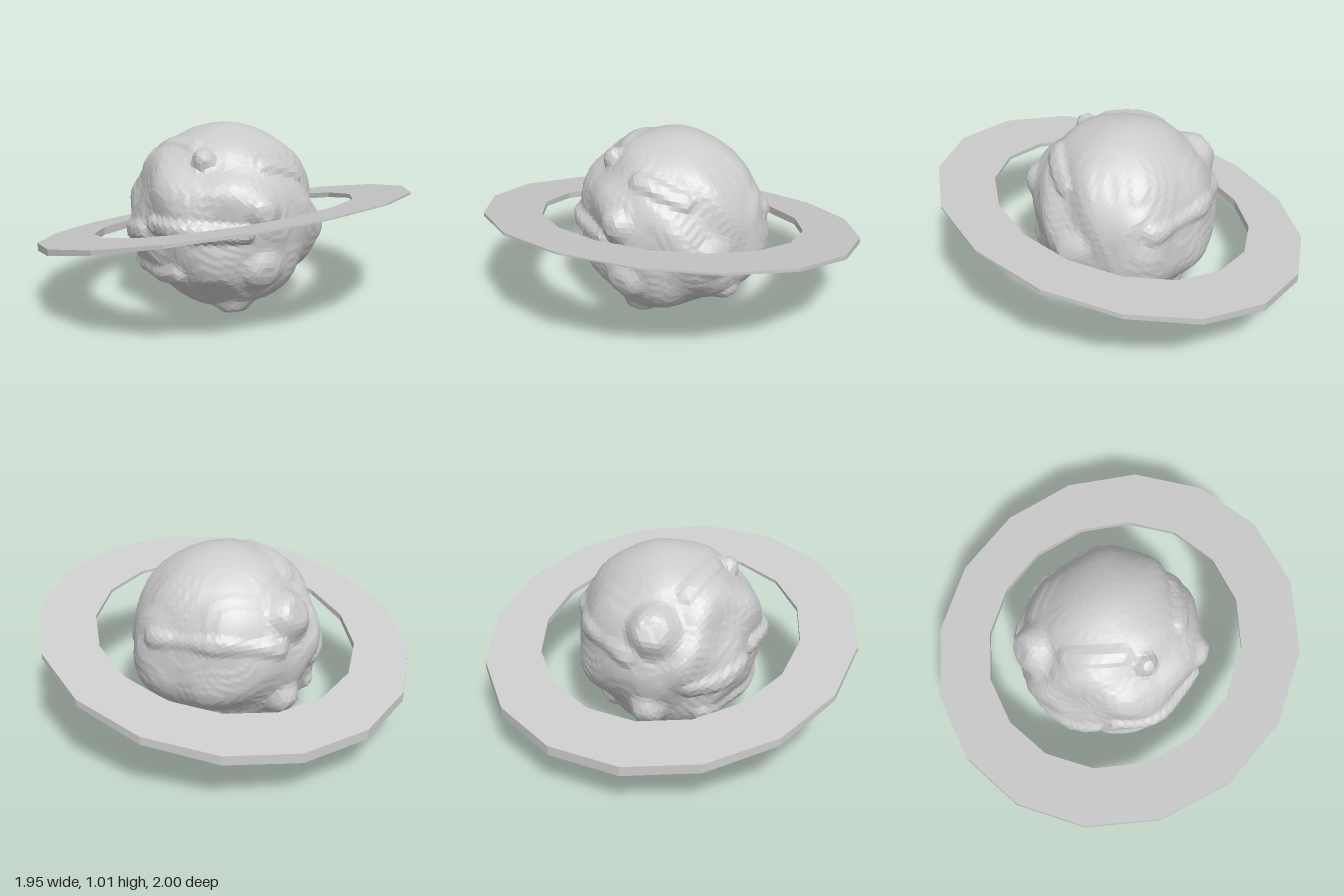
import * as THREE from 'three';

const { degToRad, lerp, smoothstep } = THREE.MathUtils;
const CENTRE_Y = 0.52;

// Unit direction from longitude (0 = front, 90 = +x) and latitude in degrees
function direction(lon, lat) {
  return new THREE.Vector3().setFromSphericalCoords(1, degToRad(90 - lat), degToRad(lon));
}

// Lumps on the surface: longitude, latitude, width, height
const lumps = [
  [-75, 27, 0.34, 0.085],  // left shoulder
  [30, 49, 0.15, 0.05],    // upper front knob
  [73, 15, 0.22, 0.035],
  [76, -24, 0.28, 0.045],
  [63, -62, 0.25, 0.04],
  [-67, -64, 0.25, 0.03],
  [-80, -30, 0.25, 0.065],
  [-48, 4, 0.4, 0.025],
  [157, -37, 0.17, 0.03],
  [180, -20, 0.55, 0.035], // broad swellings at the back
  [182, 10, 0.4, 0.025],
  [221, -45, 0.18, 0.035],
  [137, -3, 0.25, 0.03],
  [42, -42, 0.3, -0.025],  // lower front hollow
].map(([lon, lat, width, height]) => {
  const centre = direction(lon, lat);
  return { width, height, distance: (d) => d.distanceTo(centre) };
});

// Ridges: start longitude and latitude, end longitude and latitude, height
const ridges = [
  [0, 3, 62, 2, 0.035],
  [-53, -11, -14, -3, 0.025],
  [-43, -31, 16, -27, 0.03],
  [187, 12, 270, 10, 0.022],
  [120, 33, 82, 44, 0.025],
  [-49, 49, 9, 60, 0.014],
].map(([lonA, latA, lonB, latB, height]) => {
  const line = new THREE.Line3(direction(lonA, latA), direction(lonB, latB));
  const near = new THREE.Vector3();
  return {
    width: 0.13,
    height,
    distance: (d) => line.closestPointToPoint(d, true, near).normalize().distanceTo(d),
  };
});

const features = [...lumps, ...ridges];

// Rolling relief with partly stepped terraces, calmer near the top
function relief(d) {
  const n = Math.sin(5.1 * d.x + 3 * d.y + 1.3 * Math.sin(4 * d.z))
    + Math.sin(6.3 * d.y - 3.2 * d.z + 1.5 * Math.sin(5 * d.x) + 1)
    + 0.7 * Math.sin(9 * d.z + 5 * d.x - 6 * d.y + 2);
  const level = Math.floor(n * 1.3);
  const terraces = (level + smoothstep(n * 1.3 - level, 0.3, 0.7) - 0.5) / 1.3;
  return (0.004 * n + 0.007 * terraces) * (1 - 0.75 * smoothstep(d.y, 0.5, 1));
}

function planetRadius(d) {
  let r = 0.5 + relief(d);
  for (const { width, height, distance } of features) {
    r += height * smoothstep(1 - distance(d) / width, 0, 0.7);
  }
  return r;
}

function createPlanet(material) {
  const geometry = new THREE.IcosahedronGeometry(1, 22);
  const pos = geometry.attributes.position;
  const d = new THREE.Vector3();
  for (let i = 0; i < pos.count; i++) {
    d.fromBufferAttribute(pos, i).normalize();
    d.multiplyScalar(planetRadius(d));
    pos.setXYZ(i, d.x, Math.max(d.y, 0.01 - CENTRE_Y), d.z);
  }
  geometry.computeVertexNormals();
  const mesh = new THREE.Mesh(geometry, material);
  mesh.name = 'planet';
  mesh.position.y = CENTRE_Y;
  return mesh;
}

// Sixteen-sided outline
function polygon(radius) {
  return Array.from({ length: 16 }, (_, i) => {
    const a = (i + 0.5) * Math.PI / 8;
    return new THREE.Vector2(Math.cos(a) * radius * 0.975, Math.sin(a) * radius);
  });
}

// Tilted flat ring, thick on the low side and thin on the high side
function createRing(material) {
  const shape = new THREE.Shape(polygon(1.0195));
  shape.holes.push(new THREE.Path(polygon(0.714)));
  const geometry = new THREE.ExtrudeGeometry(shape, { depth: 1, bevelEnabled: false });
  geometry.rotateX(-Math.PI / 2);
  const pos = geometry.attributes.position;
  for (let i = 0; i < pos.count; i++) {
    const t = (pos.getX(i) + 0.975) / 1.95;
    const bottom = lerp(0.25, 0.728, t);
    const top = lerp(0.303, 0.737, t);
    pos.setY(i, pos.getY(i) > 0.5 ? top : bottom);
  }
  geometry.computeVertexNormals();
  const mesh = new THREE.Mesh(geometry, material);
  mesh.name = 'ring';
  return mesh;
}

export function createModel() {
  const material = new THREE.MeshStandardMaterial({ color: 0xcccccc, flatShading: true });
  const model = new THREE.Group();
  model.name = 'ringedPlanet';
  model.add(createPlanet(material), createRing(material));
  return model;
}
